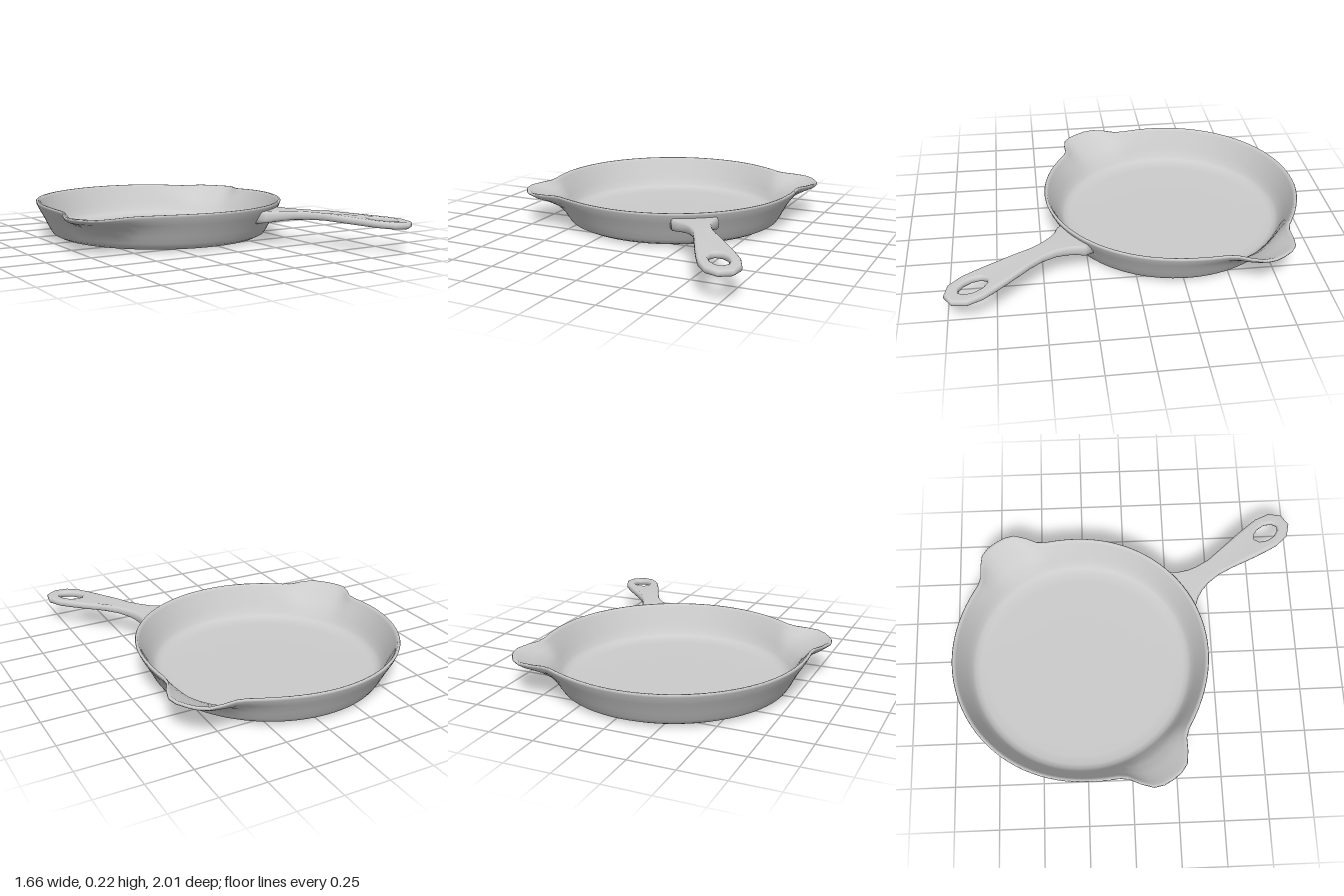
import * as THREE from 'three';
import { mergeVertices } from 'three/addons/utils/BufferGeometryUtils.js';

const material = new THREE.MeshStandardMaterial({ color: 0xcccccc });

// Weld the moved vertices and give them smooth normals
function smooth(geometry) {
  geometry.deleteAttribute('uv');
  geometry.deleteAttribute('normal');
  const welded = mergeVertices(geometry, 1e-4);
  welded.computeVertexNormals();
  return welded;
}

// Linear lookup in rows of [key, a, b]
function lookup(rows, key) {
  let i = 0;
  while (i < rows.length - 2 && key > rows[i + 1][0]) i++;
  const [p, q] = [rows[i], rows[i + 1]];
  const k = THREE.MathUtils.clamp((key - p[0]) / (q[0] - p[0]), 0, 1);
  return [p[1] + (q[1] - p[1]) * k, p[2] + (q[2] - p[2]) * k];
}

// Wall profile: radius, height, how far it follows the pouring spouts
const PROFILE = [
  [0, 0.004, 0], [0.3, 0.004, 0], [0.56, 0.006, 0], [0.605, 0.012, 0], [0.635, 0.027, 0],
  [0.65, 0.05, 0], [0.67, 0.09, 0.03], [0.69, 0.13, 0.18], [0.707, 0.16, 0.48],
  [0.72, 0.185, 0.83], [0.728, 0.205, 0.98], [0.731, 0.214, 1], [0.727, 0.22, 1],
  [0.716, 0.219, 0.97], [0.708, 0.205, 0.88], [0.695, 0.175, 0.55], [0.678, 0.14, 0.22],
  [0.66, 0.1, 0.06], [0.64, 0.062, 0], [0.622, 0.042, 0], [0.595, 0.031, 0],
  [0.54, 0.026, 0], [0.3, 0.025, 0], [0, 0.025, 0],
];

// Round pan, with its wall pulled out into a spout on each side
function createPan() {
  const geometry = new THREE.LatheGeometry(PROFILE.map(([r, y]) => new THREE.Vector2(r, y)), 96);
  const pos = geometry.attributes.position;
  for (let i = 0; i < pos.count; i++) {
    const x = pos.getX(i), y = pos.getY(i), z = pos.getZ(i);
    const r = Math.hypot(x, z);
    if (r < 1e-6) continue;
    const weight = PROFILE[i % PROFILE.length][2];
    const angle = THREE.MathUtils.radToDeg(Math.atan2(z, Math.abs(x)));
    const lip = Math.exp(-((angle / 12.5) ** 4));
    const flare = Math.exp(-((angle / 22) ** 2));
    const k = (r + weight * (0.12 * lip + 0.035 * flare)) / r;
    pos.setXYZ(i, x * k, y - 0.016 * weight * flare, z * k);
  }
  return smooth(geometry);
}

// Handle half width along its length
const EDGE = [
  [0.13, 0.693], [0.128, 0.735], [0.097, 0.775], [0.074, 0.825], [0.061, 0.88], [0.055, 0.96],
  [0.066, 1.05], [0.078, 1.13], [0.09, 1.21], [0.099, 1.29], [0.105, 1.365], [0.09, 1.455], [0.037, 1.512],
];
// Distance along the handle, top height, bottom height
const HEIGHTS = [
  [0.68, 0.19, 0.115], [0.78, 0.193, 0.135], [0.9, 0.197, 0.15], [1.05, 0.196, 0.155],
  [1.2, 0.186, 0.148], [1.35, 0.178, 0.14], [1.53, 0.168, 0.133],
];

// Flared handle plate with a hanging hole, bent to a gentle arch
function createHandle() {
  const right = EDGE.map(([s, t]) => new THREE.Vector2(s, t));
  const left = EDGE.map(([s, t]) => new THREE.Vector2(-s, t)).reverse();
  const root = [-0.065, 0, 0.065].map((s) => new THREE.Vector2(s, 0.704));
  const shape = new THREE.Shape([...right, ...left, ...root]);
  const hole = [];
  for (let i = 0; i < 10; i++) {
    const a = (i / 10) * Math.PI * 2;
    hole.push(new THREE.Vector2(0.05 * Math.sin(a), 1.36 + 0.085 * Math.cos(a)));
  }
  shape.holes.push(new THREE.Path(hole));
  const geometry = new THREE.ExtrudeGeometry(shape, {
    depth: 0.4, bevelThickness: 0.8, bevelSize: 0.014, bevelOffset: -0.014, bevelSegments: 3,
  });
  const pos = geometry.attributes.position;
  for (let i = 0; i < pos.count; i++) {
    const t = pos.getY(i);
    const [top, bottom] = lookup(HEIGHTS, t);
    const y = (top + bottom) / 2 - (pos.getZ(i) - 0.2) * (top - bottom) / 2;
    // the root leans with the sloping wall
    const lean = t < 0.73 ? (0.19 - y) * 0.4 : 0;
    pos.setXYZ(i, pos.getX(i), y, t - lean);
  }
  return smooth(geometry);
}

export function createModel() {
  const group = new THREE.Group();
  group.name = 'skillet';
  const body = new THREE.Group();
  body.name = 'skilletBody';
  const parts = { pan: createPan(), handle: createHandle() };
  for (const [name, geometry] of Object.entries(parts)) {
    const mesh = new THREE.Mesh(geometry, material);
    mesh.name = name;
    body.add(mesh);
  }
  body.rotation.y = 0.588;
  body.position.set(-0.06, 0, -0.27);
  group.add(body);
  return group;
}
